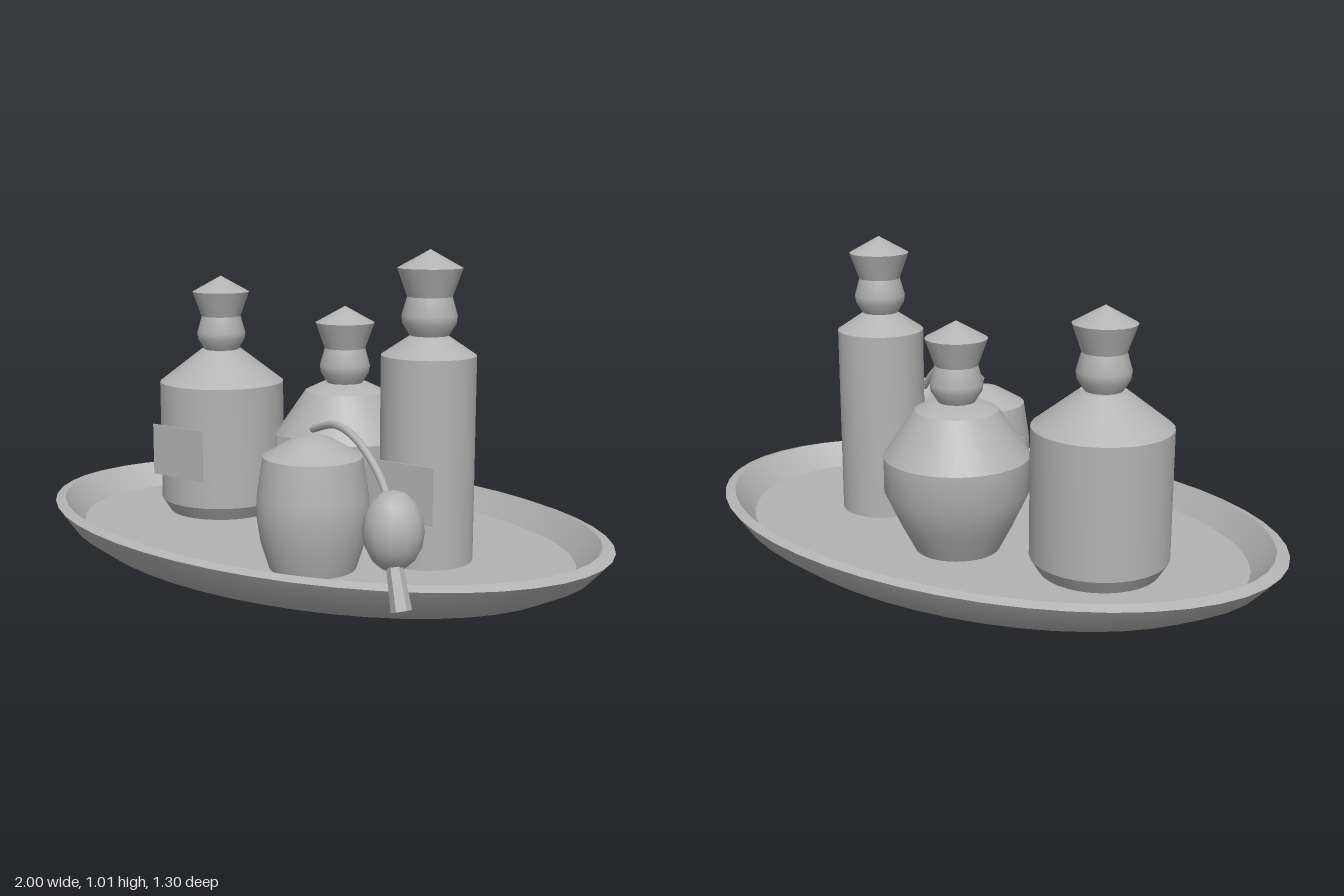
import * as THREE from 'three';
import { toCreasedNormals } from 'three/addons/utils/BufferGeometryUtils.js';

const FLOOR = 0.08;

export function createModel() {
  const model = new THREE.Group();
  const grey = new THREE.MeshStandardMaterial({ color: 0xb3b3b3 });

  const add = (name, geometry, x = 0, y = 0, z = 0, parent = model) => {
    const mesh = new THREE.Mesh(geometry, grey);
    mesh.name = name;
    mesh.position.set(x, y, z);
    parent.add(mesh);
    return mesh;
  };

  // Turned shape from [radius, height] pairs, with sharp profile corners
  const turned = (profile, sides, crease = 0.5) => toCreasedNormals(
    new THREE.LatheGeometry(profile.map(([r, y]) => new THREE.Vector2(r, y)), sides), crease);

  // Oval tray with a raised rim
  const tray = turned([
    [0, 0.033], [0.85, 0.033], [0.94, 0.08], [1, 0.147],
    [0.96, 0.158], [0.885, FLOOR], [0, FLOOR],
  ], 48);
  tray.scale(1, 1, 0.65);
  add('tray', tray);

  // Three small feet
  for (let i = 0; i < 3; i++) {
    const a = i * Math.PI * 2 / 3;
    add('trayFoot', new THREE.SphereGeometry(0.037, 8, 6),
      0.715 * Math.cos(a), 0.037, 0.465 * Math.sin(a));
  }

  // Bottle: body, bulging neck, flared stopper and a flat front label
  const bottle = (name, x, z, body, neckY, labelZ) => {
    const group = new THREE.Group();
    group.name = name;
    group.position.set(x, 0, z);
    model.add(group);
    add('bottleBody', turned([[0, FLOOR], ...body, [0, neckY]], 32), 0, 0, 0, group);
    add('bottleNeck', turned([
      [0, 0], [0.058, 0], [0.08, 0.035], [0.083, 0.058], [0.067, 0.114], [0, 0.114],
    ], 24, 0.8), 0, neckY, 0, group);
    add('stopper', turned([
      [0, 0.114], [0.067, 0.114], [0.097, 0.198], [0, 0.252],
    ], 24), 0, neckY, 0, group);
    add('label', new THREE.BoxGeometry(0.222, 0.172, 0.004), 0, 0.312, labelZ - z, group);
  };

  bottle('wideBottle', -0.46, -0.08,
    [[0.185, FLOOR], [0.213, 0.125], [0.213, 0.53], [0.07, 0.64]], 0.64, 0.147);
  bottle('roundBottle', 0, -0.17,
    [[0.135, FLOOR], [0.176, 0.16], [0.229, 0.275], [0.229, 0.385], [0.13, 0.53], [0.075, 0.556]],
    0.556, -0.05 + 0.1);
  bottle('tallBottle', 0.428, 0,
    [[0.142, FLOOR], [0.142, 0.7], [0.056, 0.758]], 0.758, 0.147);

  // Jar with a domed lid
  add('jar', turned([
    [0, FLOOR], [0.13, FLOOR], [0.155, 0.16], [0.168, 0.25], [0.165, 0.3], [0.147, 0.415],
  ], 32), 0.212, 0, 0.283);
  add('jarLid', turned([[0.147, 0.415], [0.06, 0.465], [0, 0.481]], 32), 0.212, 0, 0.283);

  // Curved hose from the lid to the squeeze bulb
  const path = new THREE.CatmullRomCurve3([
    [0.212, 0.495, 0.283], [0.33, 0.529, 0.335], [0.44, 0.508, 0.385],
    [0.53, 0.435, 0.413], [0.6, 0.34, 0.445],
  ].map(p => new THREE.Vector3(...p)));
  add('hose', new THREE.TubeGeometry(path, 16, 0.011, 8));
  for (const [t, turn] of [[0, Math.PI], [1, 0]]) {
    const cap = add('hoseEnd', new THREE.CircleGeometry(0.011, 8));
    cap.position.copy(path.getPoint(t));
    const dir = path.getTangent(t).multiplyScalar(turn ? -1 : 1);
    cap.quaternion.setFromUnitVectors(new THREE.Vector3(0, 0, 1), dir);
  }

  // Squeeze bulb with its angled end piece
  const bulb = add('squeezeBulb', new THREE.SphereGeometry(0.083, 12, 8), 0.612, 0.298, 0.46);
  bulb.scale.y = 1.32;
  const start = new THREE.Vector3(0.63, 0.22, 0.482);
  const end = new THREE.Vector3(0.668, 0.1, 0.502);
  const axis = end.clone().sub(start);
  const tip = add('bulbEnd', toCreasedNormals(
    new THREE.CylinderGeometry(0.028, 0.022, axis.length(), 6), 0.5));
  tip.position.copy(start).add(end).multiplyScalar(0.5);
  tip.quaternion.setFromUnitVectors(new THREE.Vector3(0, 1, 0), axis.normalize());

  return model;
}
